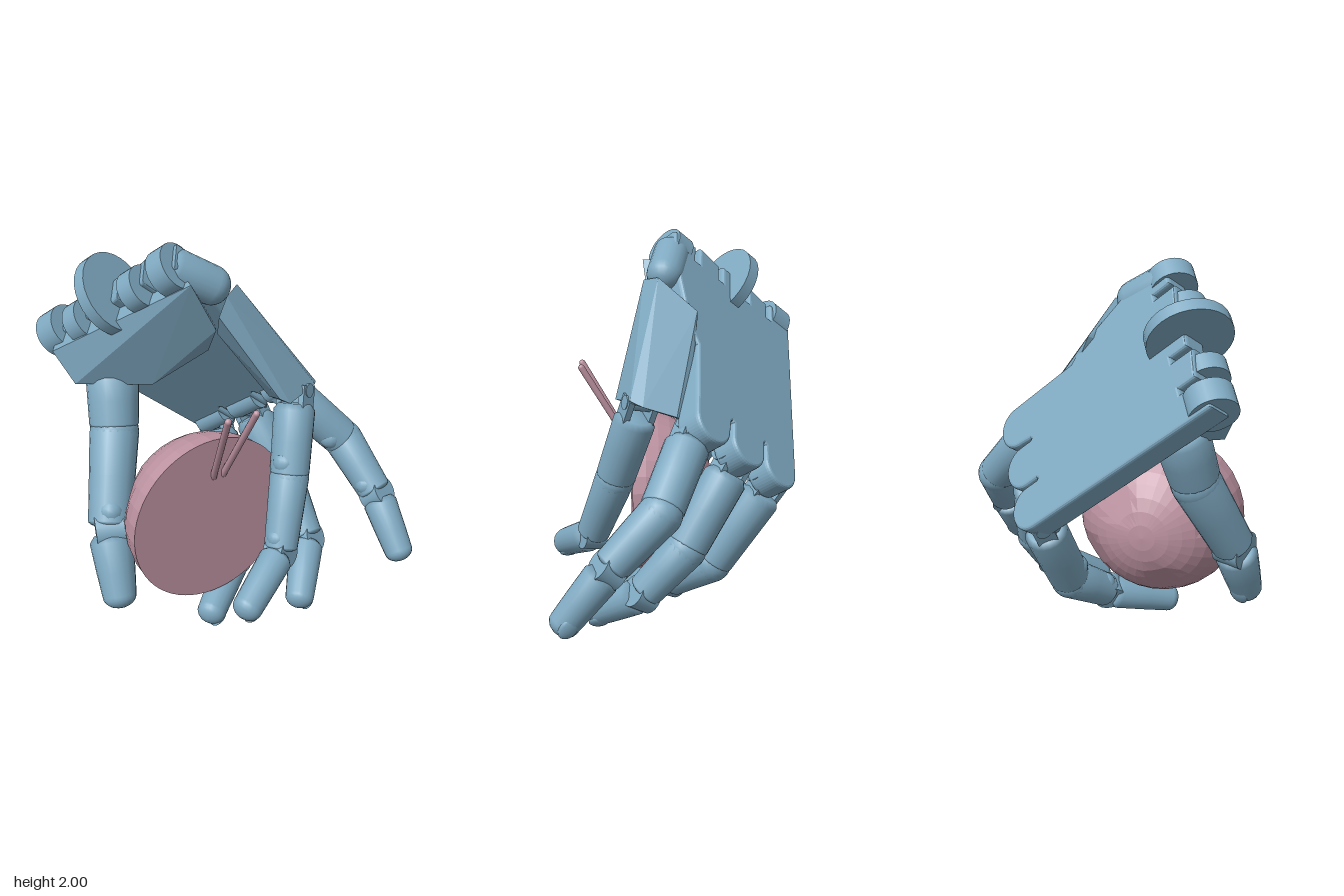
import * as THREE from 'three';
import { ConvexGeometry } from 'three/addons/geometries/ConvexGeometry.js';

const V = (x, y, z) => new THREE.Vector3(x, y, z);
const blue = new THREE.MeshStandardMaterial({ color: 0x7fa9c1 });
const blueFlat = new THREE.MeshStandardMaterial({ color: 0x7fa9c1, flatShading: true });
const pink = new THREE.MeshStandardMaterial({ color: 0xbd93a1 });
const pinkFlat = new THREE.MeshStandardMaterial({ color: 0xbd93a1, flatShading: true });

function add(parent, name, geometry, material = blue) {
  const mesh = new THREE.Mesh(geometry, material);
  mesh.name = name;
  parent.add(mesh);
  return mesh;
}

// Place an object at p with its y along dir and its x close to side
function orient(obj, p, dir, side) {
  const y = dir.clone().normalize();
  const z = side.clone().cross(y).normalize();
  const x = y.clone().cross(z);
  obj.quaternion.setFromRotationMatrix(new THREE.Matrix4().makeBasis(x, y, z));
  obj.position.copy(p);
  return obj;
}

// Tapered limb: chamfered start, rounded end of depth cap
function limbGeometry(len, r0, r1, cap) {
  const pts = [[0, 0], [r0 * 0.78, 0], [r0, r0 * 0.3], [(r0 + r1) * 0.5, len * 0.5]];
  for (let i = 0; i <= 6; i++) {
    const a = (i / 6) * Math.PI / 2;
    pts.push([Math.max(r1 * Math.cos(a), 0), len - cap + cap * Math.sin(a)]);
  }
  return new THREE.LatheGeometry(pts.map(p => new THREE.Vector2(...p)), 20);
}

function limb(parent, name, a, b, r0, r1, cap, side) {
  const d = b.clone().sub(a);
  return orient(add(parent, name, limbGeometry(d.length(), r0, r1, cap)), a, d, side);
}

// Barrel whose axis runs along local x
const barrel = (r, len) => new THREE.CylinderGeometry(r, r, len, 28).rotateZ(Math.PI / 2);

// A finger through four joints; jointed ones get hinge lugs and pads at each joint
function finger(parent, name, coords, radii, jointed) {
  const g = new THREE.Group();
  g.name = name;
  parent.add(g);
  const p = coords.map(c => V(...c));
  const dirs = [0, 1, 2].map(i => p[i + 1].clone().sub(p[i]).normalize());
  const side = p[1].clone().sub(p[0]).cross(p[3].clone().sub(p[1])).normalize();
  // Direction toward the inside of the curl
  const inner = i => side.clone().cross(dirs[i]).normalize();

  for (let i = 0; i < 3; i++) {
    const offset = [jointed ? 0.07 : 0, -0.03, 0.03][i];
    const start = p[i].clone().addScaledVector(dirs[i], offset);
    limb(g, ['proximalSegment', 'middleSegment', 'fingertip'][i], start, p[i + 1],
      radii[i], radii[i + 1], i === 2 ? radii[3] * 0.75 : radii[i + 1] * 0.3, side);
    if (i === 0) continue;
    const r = radii[i];
    if (i === 1) add(g, 'elbow', new THREE.SphereGeometry(r, 20, 14)).position.copy(p[1]);
    else orient(add(g, 'jointBarrel', barrel(r * 0.9, r * 1.3)), p[i], dirs[i], side);
    if (jointed || i === 2) {
      const pad = add(g, 'jointPad', new THREE.SphereGeometry(r * 0.62, 14, 10));
      pad.position.copy(p[i]).addScaledVector(dirs[i - 1], -r * 0.8).addScaledVector(inner(i - 1), r * 0.5);
    }
  }
  if (jointed) {
    for (const s of [-1, 1]) {
      const at = p[0].clone().addScaledVector(dirs[0], 0.05).addScaledVector(side, s * radii[0] * 0.62);
      orient(add(g, 'hingeLug', new THREE.BoxGeometry(0.03, 0.15, 0.1)), at, dirs[0], side);
    }
    orient(add(g, 'hingePin', barrel(0.035, radii[0] * 1.6)), p[0], dirs[0], side);
  }
  // Nail on the outer side of the tip
  const at = p[3].clone().addScaledVector(dirs[2], -radii[3] * 0.95).addScaledVector(inner(2), -radii[3] * 0.8);
  const nail = add(g, 'nail', new THREE.SphereGeometry(1, 16, 10));
  orient(nail, at, dirs[2], side).scale.set(radii[3] * 0.6, radii[3] * 0.8, radii[3] * 0.26);
}

function buildPalm(parent) {
  // Local axes: x across the hand, y toward the fingers, z out of its back
  const palm = new THREE.Group();
  palm.name = 'palm';
  const y = V(0.77, -0.63, 0.07).normalize();
  const z = V(0.494, 0.526, -0.691);
  z.addScaledVector(y, -z.dot(y)).normalize();
  const x = y.clone().cross(z);
  palm.quaternion.setFromRotationMatrix(new THREE.Matrix4().makeBasis(x, y, z));
  palm.position.set(-0.67, 1.515, -0.64);
  parent.add(palm);

  // Back plate with slots at the wrist and round tongues over the knuckles
  const knuckles = [0.085, 0.325, 0.575];
  const s = new THREE.Shape();
  s.moveTo(-0.02, 0.03);
  knuckles.forEach((c, i) => {
    s.lineTo(c - 0.1, 1.12);
    s.absarc(c, 1.12, 0.1, Math.PI, 0, true);
    if (i < 2) {
      s.lineTo(c + 0.1, 1.04);
      s.lineTo(c + 0.12, 1.02);
      s.lineTo(c + 0.14, 1.04);
    }
  });
  s.lineTo(0.68, 0.7);
  s.lineTo(0.74, 0.62);
  s.lineTo(0.87, 0.2);
  s.lineTo(0.87, 0.06);
  for (const c of [0.71, 0.53, 0.32, 0.14]) {
    s.lineTo(c + 0.03, 0.06);
    s.lineTo(c + 0.03, 0.16);
    s.lineTo(c - 0.03, 0.16);
    s.lineTo(c - 0.03, 0.04);
  }
  s.closePath();
  add(palm, 'backPlate', new THREE.ExtrudeGeometry(s, {
    depth: 0.1, bevelEnabled: true, bevelSize: 0.015, bevelThickness: 0.02, bevelSegments: 3, curveSegments: 12,
  }).translate(0, 0, -0.12));

  // Wrist discs: position across, along, out, radius, thickness
  for (const [c, u, n, r, w] of [[0.045, 0.06, -0.09, 0.115, 0.12], [0.23, 0.06, -0.12, 0.105, 0.09],
    [0.43, 0.055, -0.06, 0.205, 0.065], [0.62, 0.07, -0.12, 0.105, 0.09], [0.815, 0.085, -0.1, 0.115, 0.1]])
    add(palm, 'wristDisc', barrel(r, w)).position.set(c, u, n);

  // Rounded hinge housings under the tongues
  for (const c of knuckles)
    add(palm, 'knuckle', barrel(0.075, 0.18)).position.set(c, 1.12, -0.1);
}

function buildBall(parent) {
  const ball = new THREE.Group();
  ball.name = 'halfBall';
  ball.position.set(-0.25, 0.625, 0.24);
  parent.add(ball);
  const R = 0.44;
  const dome = new THREE.SphereGeometry(R, 32, 10, 0, Math.PI * 2, 0, Math.PI / 2).rotateX(-Math.PI / 2);
  // Press shallow flat spots into the dome
  const pos = dome.attributes.position;
  const v = V(0, 0, 0);
  for (const d of [V(0.35, 0.35, -0.87), V(-0.75, 0.25, -0.6), V(0.65, -0.4, -0.64), V(-0.2, -0.6, -0.77)]) {
    d.normalize();
    for (let i = 0; i < pos.count; i++) {
      v.fromBufferAttribute(pos, i);
      const over = v.dot(d) - R * 0.965;
      if (over > 0) {
        v.addScaledVector(d, -over);
        pos.setXYZ(i, v.x, v.y, v.z);
      }
    }
  }
  add(ball, 'dome', dome, pinkFlat);
  add(ball, 'flatFace', new THREE.CircleGeometry(R, 64), pink);

  // Two thin pins leaning out of the flat face
  for (const [x0, x1] of [[0.012, -0.07], [0.068, 0.083]]) {
    const a = V(x0, 0.23, -0.01), b = V(x1, 0.67, 0.255);
    const d = b.clone().sub(a);
    const pin = add(ball, 'pin', new THREE.CapsuleGeometry(0.017, d.length(), 5, 12), pink);
    orient(pin, a.add(b).multiplyScalar(0.5), d, V(1, 0, 0));
  }
}

export function createModel() {
  const model = new THREE.Group();
  model.name = 'handHoldingHalfBall';
  buildPalm(model);

  // Thick heel of the palm that carries the thumb
  const heel = [[-0.31, 1.84, 0.17], [-0.75, 1.4, -0.44], [-0.68, 1.24, -0.35], [-0.36, 1.24, -0.14],
    [-0.16, 1.58, 0.14], [-0.12, 1.42, 0], [-0.65, 1.47, -0.55], [-0.28, 1.84, 0.05],
    [-0.2, 1.2, -0.47], [-0.02, 1.5, -0.1]];
  add(model, 'palmHeel', new ConvexGeometry(heel.map(c => V(...c))), blueFlat);

  // Folded side of the palm that carries the little finger
  const fold = [[-0.17, 1.66, 0.18], [-0.12, 1.75, 0.17], [-0.02, 1.77, 0.1], [-0.1, 1.52, 0.05], [0.06, 1.61, -0.09],
    [0.1, 1.22, 0.3], [0.15, 1.19, 0.32], [0.35, 1.22, 0.25], [0.4, 1.2, 0.19], [0.17, 1.14, 0.11],
    [0.4, 1.15, 0.03], [0.14, 1.42, -0.08], [0.36, 1.12, -0.02]];
  add(model, 'littleFingerPalm', new ConvexGeometry(fold.map(c => V(...c))), blueFlat);
  limb(model, 'foldHinge', V(-0.33, 1.89, 0.01), V(-0.06, 1.73, 0.08), 0.095, 0.095, 0.09, V(0, 0, 1));

  finger(model, 'littleFinger', [[0.27, 1.19, 0.2], [0.15, 0.78, 0.33], [0.02, 0.45, 0.45], [-0.32, 0.29, 0.62]],
    [0.105, 0.1, 0.085, 0.075], true);
  finger(model, 'ringFinger', [[0.37, 1.08, -0.05], [0.66, 0.76, 0.12], [0.715, 0.52, 0.36], [0.72, 0.22, 0.6]],
    [0.11, 0.105, 0.09, 0.075], true);
  finger(model, 'middleFinger', [[0.29, 0.91, -0.26], [0.385, 0.49, -0.01], [0.38, 0.26, 0.2], [0.14, 0.06, 0.46]],
    [0.11, 0.105, 0.09, 0.075], true);
  finger(model, 'indexFinger', [[0.19, 0.77, -0.45], [0.14, 0.33, -0.16], [0.0, 0.18, 0.05], [-0.32, 0.06, 0.3]],
    [0.11, 0.105, 0.09, 0.075], true);
  finger(model, 'thumb', [[-0.47, 1.27, -0.36], [-0.53, 0.98, -0.25], [-0.69, 0.57, -0.03], [-0.74, 0.22, 0.16]],
    [0.135, 0.125, 0.11, 0.085], false);

  buildBall(model);
  return model;
}
